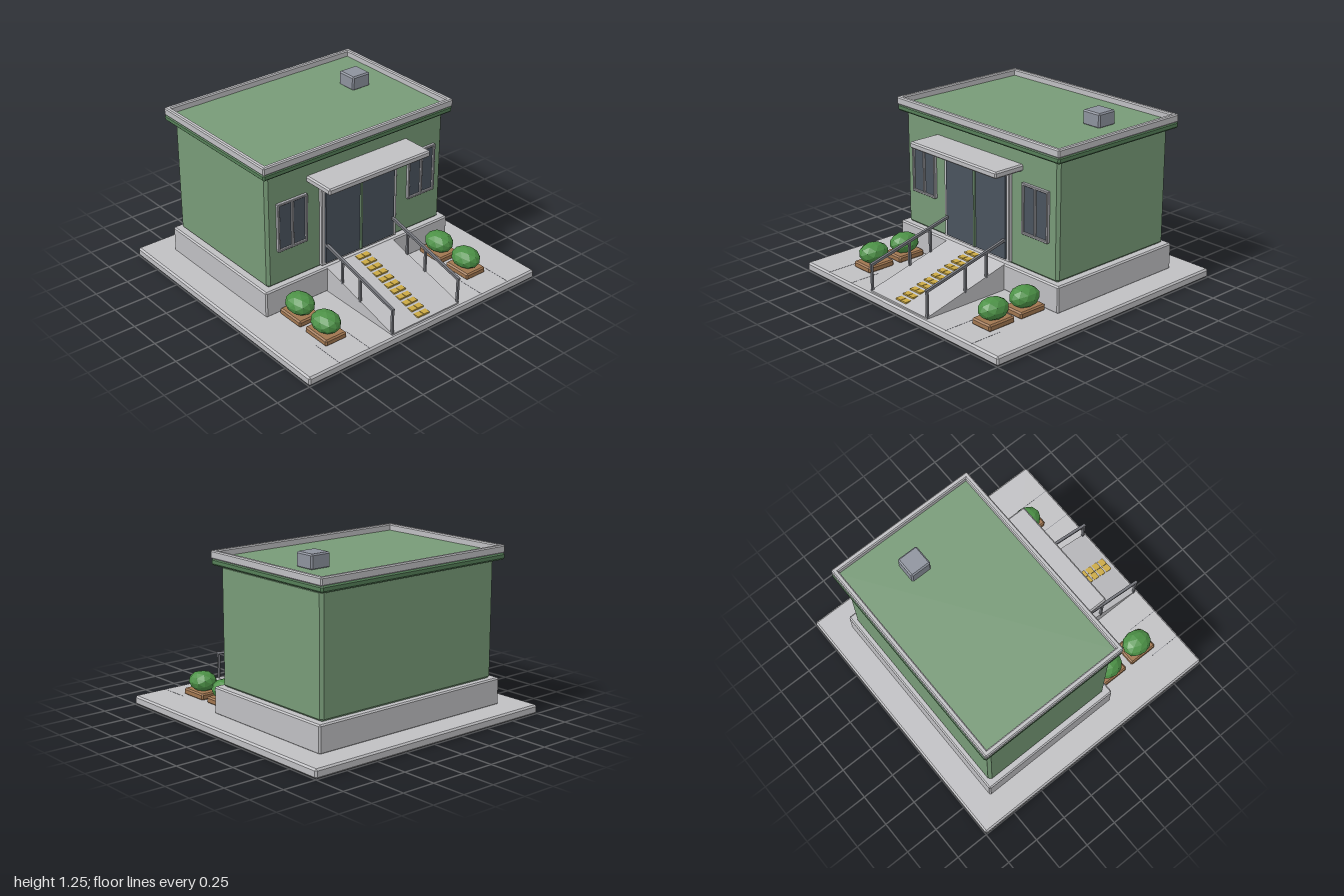
import * as THREE from 'three';
import { ConvexGeometry } from 'three/addons/geometries/ConvexGeometry.js';

const mat = (name, color) => {
  const m = new THREE.MeshStandardMaterial({ color, flatShading: true });
  m.name = name;
  return m;
};

export function createModel() {
  const group = new THREE.Group();
  const concrete = mat('concrete', 0xbfbfc2);
  const green = mat('wall green', 0x779a77);
  const darkGreen = mat('cornice green', 0x557f58);
  const frame = mat('frame grey', 0xa9a9ae);
  const glass = mat('dark glass', 0x4a535e);
  const metal = mat('rail metal', 0x77797f);
  const vent = mat('vent grey', 0x8d929d);
  const gold = mat('tactile yellow', 0xcaa843);
  const wood = mat('planter brown', 0xa07650);
  const leaf = mat('leaf green', 0x4c9146);

  const add = (name, geometry, material, parent = group) => {
    const mesh = new THREE.Mesh(geometry, material);
    mesh.name = name;
    parent.add(mesh);
    return mesh;
  };

  // Box given by its min and max on each axis, with chamfered edges when b > 0
  const block = (name, material, [x0, x1], [y0, y1], [z0, z1], b = 0, parent = group) => {
    const h = [(x1 - x0) / 2, (y1 - y0) / 2, (z1 - z0) / 2];
    let geometry;
    if (b > 0) {
      const points = [];
      for (const sx of [-1, 1]) for (const sy of [-1, 1]) for (const sz of [-1, 1])
        for (let axis = 0; axis < 3; axis++) {
          const c = h.map((v, i) => (i === axis ? v : v - b));
          points.push(new THREE.Vector3(sx * c[0], sy * c[1], sz * c[2]));
        }
      geometry = new ConvexGeometry(points);
    } else geometry = new THREE.BoxGeometry(h[0] * 2, h[1] * 2, h[2] * 2);
    const mesh = add(name, geometry, material, parent);
    mesh.position.set((x0 + x1) / 2, (y0 + y1) / 2, (z0 + z1) / 2);
    return mesh;
  };

  // Ground slab, plinth and walls
  block('groundSlab', concrete, [-1, 1], [0, 0.065], [-1, 1], 0.012);
  block('plinth', concrete, [-0.81, 0.81], [0.06, 0.255], [-0.81, 0.298], 0.01);
  block('walls', green, [-0.765, 0.765], [0.25, 1.095], [-0.775, 0.26], 0.02);
  for (const x of [-0.75, -0.5, 0.5, 0.75])
    block('pavingJoint', metal, [x - 0.0015, x + 0.0015], [0.06, 0.066], [0.75, 0.99]);

  // Roof: cornice, deck, parapet and vent
  block('cornice', darkGreen, [-0.81, 0.81], [1.09, 1.138], [-0.835, 0.305], 0.012);
  block('roofDeck', green, [-0.79, 0.79], [1.13, 1.145], [-0.81, 0.285]);
  for (const s of [-1, 1]) {
    const x = s * 0.7925;
    block('parapetSide', concrete, [x - 0.0185, x + 0.0185], [1.133, 1.19], [-0.83, 0.308], 0.008);
  }
  for (const z of [-0.812, 0.29])
    block('parapetEnd', concrete, [-0.8, 0.8], [1.133, 1.19], [z - 0.018, z + 0.018], 0.008);
  block('roofVent', vent, [0.42, 0.576], [1.14, 1.245], [-0.456, -0.3], 0.01);

  // Entrance: frame, glass leaves, centre strip and canopy
  const door = new THREE.Group();
  door.name = 'entrance';
  group.add(door);
  for (const s of [-1, 1]) {
    const x = s * 0.315;
    block('doorJamb', concrete, [x - 0.016, x + 0.016], [0.28, 0.927], [0.25, 0.286], 0.005, door);
    block('doorLeaf', glass, [s < 0 ? -0.3 : 0.004, s < 0 ? -0.004 : 0.3], [0.29, 0.9], [0.25, 0.295], 0, door);
  }
  block('doorHead', concrete, [-0.331, 0.331], [0.897, 0.927], [0.25, 0.286], 0.005, door);
  block('doorSill', concrete, [-0.331, 0.331], [0.275, 0.292], [0.25, 0.286], 0, door);
  block('doorCentreStrip', green, [-0.007, 0.007], [0.295, 0.9], [0.25, 0.308], 0, door);
  block('canopy', concrete, [-0.435, 0.435], [0.943, 0.99], [0.25, 0.5], 0.01);

  // Windows
  for (const s of [-1, 1]) {
    const win = new THREE.Group();
    win.name = s > 0 ? 'leftWindow' : 'rightWindow';
    win.position.x = s * 0.564;
    group.add(win);
    block('windowGlass', glass, [-0.112, 0.112], [0.525, 0.86], [0.25, 0.268], 0, win);
    for (const x of [-0.115, 0, 0.115])
      block('windowUpright', frame, [x - 0.008, x + 0.008], [0.514, 0.872], [0.25, 0.282], 0.003, win);
    for (const y of [0.521, 0.864])
      block('windowRail', frame, [-0.122, 0.122], [y - 0.008, y + 0.008], [0.25, 0.282], 0.003, win);
  }

  // Ramp: side profile extruded across the width
  const zTop = 0.295, zEnd = 0.975, yTop = 0.252, yEnd = 0.075;
  const rampY = (z) => yTop + ((yEnd - yTop) * (z - zTop)) / (zEnd - zTop);
  const profile = new THREE.Shape([[-zEnd, 0.06], [-zTop, 0.06], [-zTop, yTop], [-zEnd, yEnd]]
    .map(([a, b]) => new THREE.Vector2(a, b)));
  const rampGeometry = new THREE.ExtrudeGeometry(profile, { depth: 0.59, bevelEnabled: false });
  rampGeometry.rotateY(Math.PI / 2).translate(-0.295, 0, 0);
  add('ramp', rampGeometry, concrete);

  // Tactile pads in two columns down the ramp
  for (let i = 0; i < 11; i++) {
    const z = 0.325 + i * 0.0605, y = rampY(z);
    for (const x of [-0.027, 0.027])
      block('tactilePad', gold, [x - 0.025, x + 0.025], [y - 0.003, y + 0.008], [z - 0.023, z + 0.023]);
  }

  // Handrails
  const a = new THREE.Vector2(0.975, 0.258), b = new THREE.Vector2(0.28, 0.43);
  for (const s of [-1, 1]) {
    const x = s * 0.29;
    const rail = add('handrail', new THREE.BoxGeometry(0.02, 0.018, a.distanceTo(b)), metal);
    rail.position.set(x, (a.y + b.y) / 2, (a.x + b.x) / 2);
    rail.rotation.x = Math.atan2(b.y - a.y, a.x - b.x);
    for (const z of [0.965, 0.64, 0.455]) {
      const top = a.y + ((b.y - a.y) * (a.x - z)) / (a.x - b.x);
      block('railPost', metal, [x - 0.008, x + 0.008], [rampY(z) - 0.01, top], [z - 0.008, z + 0.008]);
    }
  }

  // Planters with faceted shrubs
  for (const s of [-1, 1]) for (const z of [0.422, 0.695]) {
    const x = s * 0.625;
    block('planter', wood, [x - 0.087, x + 0.087], [0.062, 0.11], [z - 0.11, z + 0.11], 0.01);
    const shrub = add('shrub', new THREE.IcosahedronGeometry(1, 1), leaf);
    shrub.scale.set(0.094, 0.073, 0.112);
    shrub.position.set(x, 0.17, z);
  }
  return group;
}
